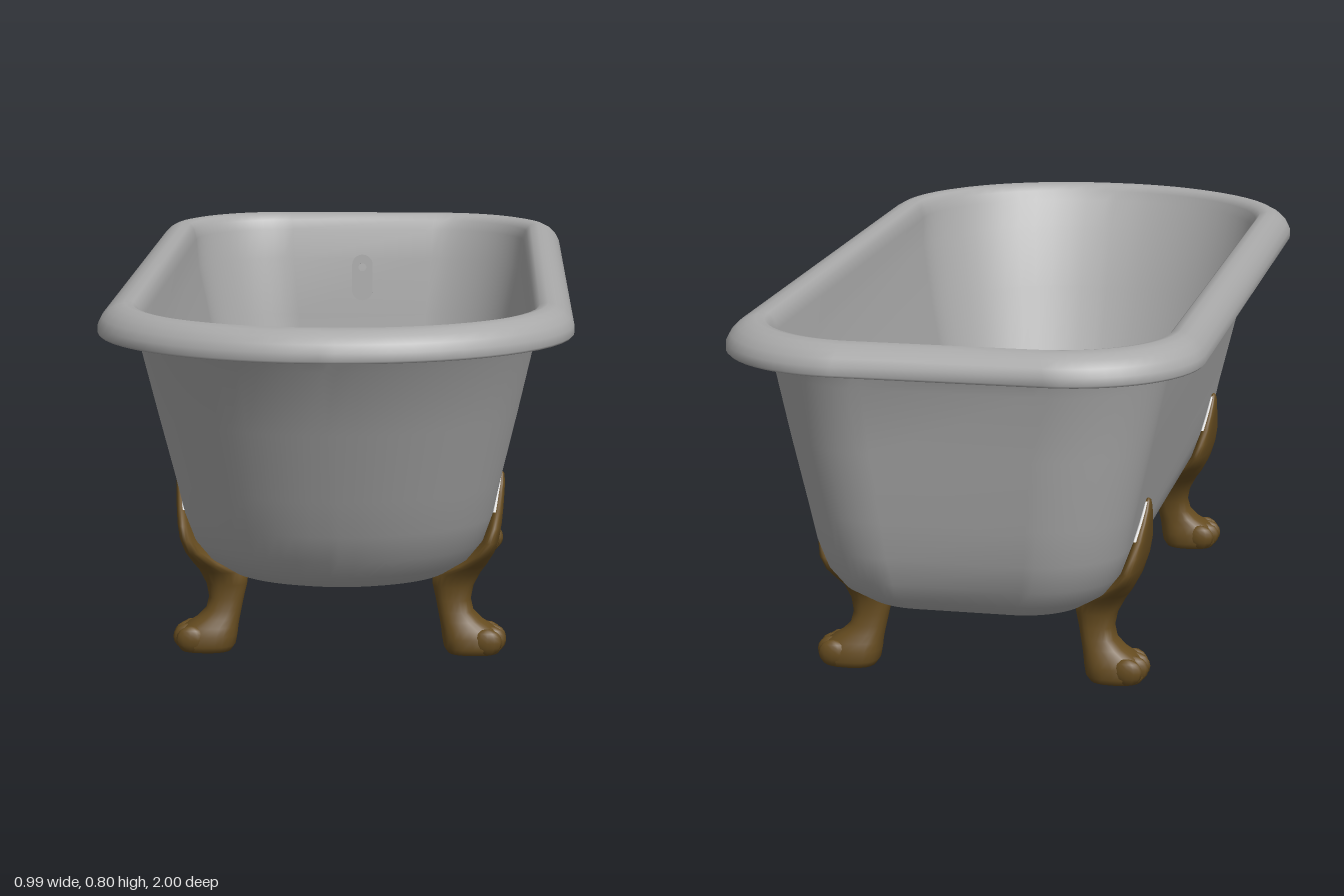
import * as THREE from 'three';

const enamel = new THREE.MeshStandardMaterial({ color: 0xa9a9a9 });
enamel.name = 'grey enamel';
const bronze = new THREE.MeshStandardMaterial({ color: 0x664c20 });
bronze.name = 'dark bronze';
const pale = new THREE.MeshStandardMaterial({ color: 0xe4e4e4 });
pale.name = 'pale backing';

// Skin over closed rings of equal length; rings rising with counter-clockwise x-z order face outward
function loft(rings) {
  const n = rings[0].length, pos = [], index = [];
  rings.forEach(r => r.forEach(p => pos.push(p[0], p[1], p[2])));
  for (let i = 0; i < rings.length - 1; i++) {
    for (let j = 0; j < n; j++) {
      const a = i * n + j, b = i * n + (j + 1) % n;
      index.push(a, a + n, b, b, a + n, b + n);
    }
  }
  const g = new THREE.BufferGeometry();
  g.setAttribute('position', new THREE.Float32BufferAttribute(pos, 3));
  g.setIndex(index);
  g.computeVertexNormals();
  return g;
}

function mesh(name, geometry, material, parent) {
  const m = new THREE.Mesh(geometry, material);
  m.name = name;
  parent.add(m);
  return m;
}

// Tub outline at one level: elliptical front end, rounded-corner back end
function tubRing([y, w, zf, zb]) {
  const s = w / 0.495, out = [], N = 14;
  for (let q = 0; q < 4; q++) {
    const front = q < 2, sx = q === 0 || q === 3 ? 1 : -1;
    const rx = front ? w * 0.97 : 0.28 * s, rz = (front ? 0.4 : 0.26) * s;
    for (let k = 0; k <= N; k++) {
      const t = (q + k / N) * Math.PI / 2;
      const z = (front ? zf - rz : zb + rz) + rz * Math.sin(t);
      const tilt = y > 0.7 ? -0.005 * z : 0;
      out.push([sx * (w - rx) + rx * Math.cos(t), y + tilt, z]);
    }
  }
  return out;
}

// Outer wall levels: height, half width, front z, back z
const WALL = [
  [0.165, 0, 0.4, -0.5], [0.168, 0.1, 0.48, -0.62], [0.175, 0.19, 0.56, -0.71],
  [0.19, 0.235, 0.62, -0.76], [0.22, 0.28, 0.665, -0.8], [0.26, 0.31, 0.7, -0.825],
  [0.32, 0.33, 0.73, -0.845], [0.4, 0.346, 0.765, -0.86], [0.55, 0.38, 0.825, -0.882],
  [0.69, 0.41, 0.885, -0.9],
];
// Rolled rim: height and inset from the outermost outline
const RIM = [
  [0.735, 0.078], [0.765, 0.072], [0.77, 0.035], [0.757, 0.014], [0.735, 0.008],
  [0.731, 0.004], [0.736, 0], [0.752, 0.001], [0.768, 0.009], [0.782, 0.022],
  [0.791, 0.038], [0.795, 0.055], [0.791, 0.072], [0.778, 0.083], [0.755, 0.089],
];

// Leg levels: height, inner x, outer x, z shift, half depth
const LEG = [
  [0.004, 0.28, 0.29, 0.035, 0.002], [0.005, 0.235, 0.345, 0.035, 0.046],
  [0.018, 0.226, 0.354, 0.035, 0.053], [0.04, 0.222, 0.352, 0.034, 0.052],
  [0.058, 0.22, 0.338, 0.033, 0.046], [0.075, 0.217, 0.31, 0.03, 0.04],
  [0.095, 0.213, 0.29, 0.027, 0.037], [0.12, 0.208, 0.284, 0.023, 0.036],
  [0.15, 0.201, 0.29, 0.018, 0.041], [0.18, 0.199, 0.306, 0.012, 0.056],
  [0.2, 0.24, 0.32, 0.008, 0.078], [0.23, 0.282, 0.336, 0.004, 0.106],
  [0.26, 0.304, 0.345, 0, 0.12], [0.29, 0.316, 0.35, -0.003, 0.108],
  [0.32, 0.326, 0.353, -0.006, 0.077], [0.35, 0.333, 0.355, -0.009, 0.043],
  [0.372, 0.338, 0.356, -0.01, 0.025], [0.39, 0.342, 0.354, -0.01, 0.01],
  [0.395, 0.347, 0.35, -0.01, 0.001],
];

function legRing([y, xin, xout, zc, zh]) {
  const e = v => Math.sign(v) * Math.abs(v) ** 0.8;
  return Array.from({ length: 24 }, (_, k) => {
    const t = k / 24 * Math.PI * 2;
    return [(xin + xout) / 2 + (xout - xin) / 2 * e(Math.cos(t)), y, zc + zh * e(Math.sin(t))];
  });
}

// Mirror a ring across x and/or z, keeping its direction
function mirrorRing(ring, sx, sz) {
  const r = ring.map(p => [p[0] * sx, p[1], p[2] * sz]);
  return sx * sz < 0 ? r.reverse() : r;
}

export function createModel() {
  const model = new THREE.Group();
  model.name = 'bathtub';

  // Tub shell: outer wall, hollow rolled rim, inner wall and floor
  const rim = RIM.map(([y, d]) => [y, 0.495 - d, 1 - d, -1 + d]);
  const inner = WALL.map(([y, w, zf, zb]) =>
    [y + (y < 0.3 ? 0.013 : 0), Math.max(0, w - 0.011), zf - 0.012, zb + 0.011]).reverse();
  mesh('tubShell', loft([...WALL, ...rim, ...inner].map(tubRing)), enamel, model);

  // Overflow plate on the inside of the back wall
  const slot = new THREE.Shape();
  slot.absarc(0, 0.032, 0.026, 0, Math.PI, false);
  slot.absarc(0, -0.032, 0.026, Math.PI, Math.PI * 2, false);
  const hole = new THREE.Path();
  hole.absarc(0, 0.026, 0.01, 0, Math.PI * 2, true);
  slot.holes.push(hole);
  const plate = mesh('overflowPlate',
    new THREE.ExtrudeGeometry(slot, { depth: 0.008, bevelEnabled: false, curveSegments: 10 }), enamel, model);
  plate.position.set(0, 0.64, -0.884);
  plate.rotation.x = -0.12;

  // Four claw feet with toes, backing and inside bolts
  for (const sx of [1, -1]) {
    for (const sz of [1, -1]) {
      const leg = new THREE.Group();
      leg.name = (sz > 0 ? 'front' : 'back') + (sx > 0 ? 'Left' : 'Right') + 'Leg';
      leg.position.z = sz > 0 ? 0.395 : -0.55;
      model.add(leg);

      mesh('clawLeg', loft(LEG.map(s => mirrorRing(legRing(s), sx, sz))), bronze, leg);

      const backing = LEG.slice(14, 18).map(([y, a, b, zc, zh]) => [y, a, (a + b) / 2 + 0.001, zc, zh + 0.003]);
      mesh('legBacking', loft(backing.map(s => mirrorRing(legRing(s), sx, sz))), pale, leg);

      for (let i = 0; i < 4; i++) {
        const toe = mesh('toe', new THREE.SphereGeometry(1, 12, 8), bronze, leg);
        const side = Math.abs(i - 1.5) > 1;
        toe.scale.set(0.032, 0.029, 0.016);
        toe.position.set(sx * (side ? 0.32 : 0.329), 0.034, sz * (0.035 + (i - 1.5) * 0.026));
      }

      const bolt = new THREE.Group();
      bolt.name = 'legBolt';
      bolt.position.set(sx * 0.235, 0.206, sz * -0.017);
      bolt.rotation.z = sx * 0.6;
      leg.add(bolt);
      mesh('washer', new THREE.CylinderGeometry(0.026, 0.03, 0.014, 16), enamel, bolt);
      mesh('nut', new THREE.CylinderGeometry(0.016, 0.016, 0.036, 6), enamel, bolt);
    }
  }
  return model;
}
